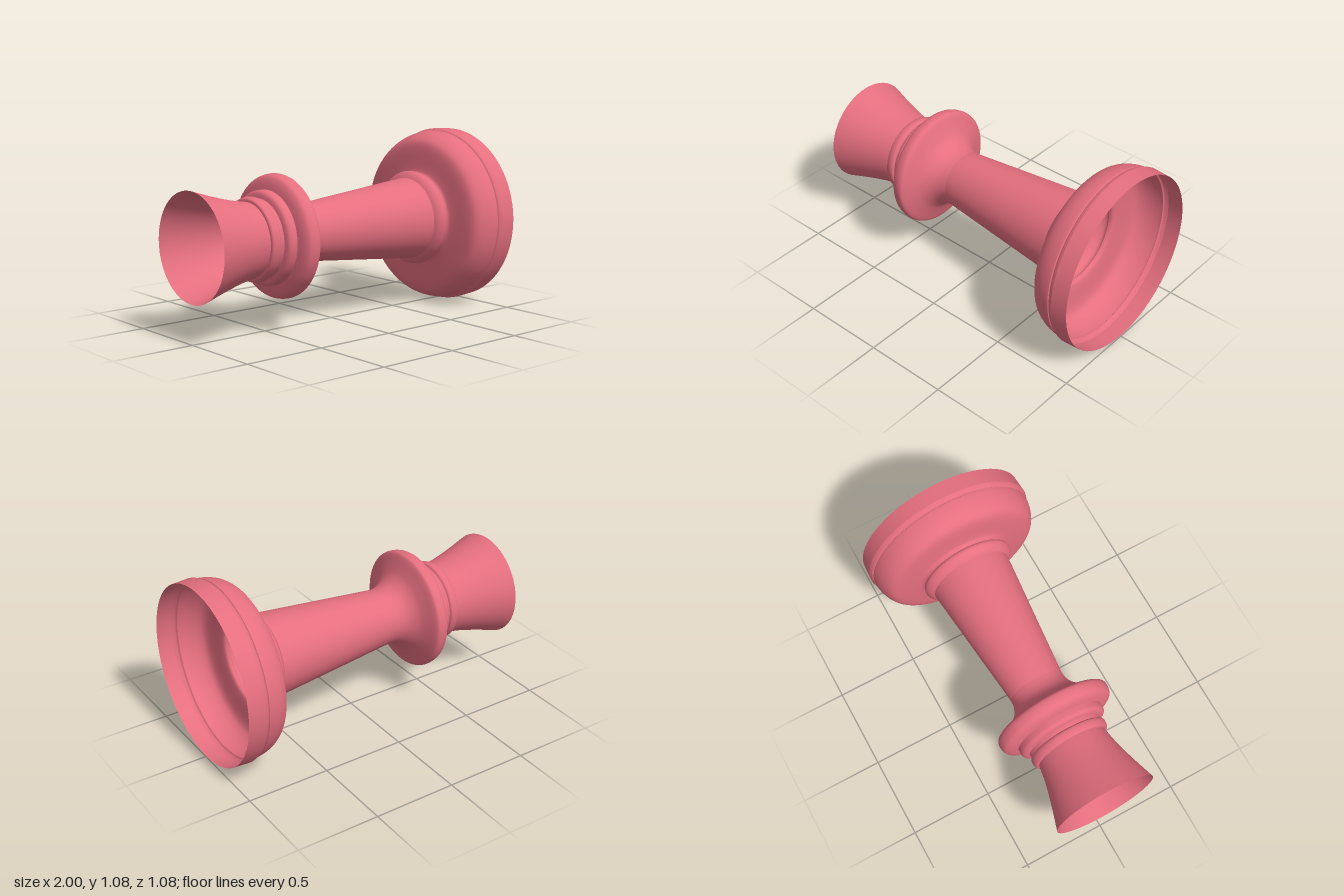
import * as THREE from 'three';

const AXIS_HEIGHT = 0.54;
const material = new THREE.MeshStandardMaterial({ color: 0xe56f7f, side: THREE.DoubleSide });

// Each section is a smooth profile of [x along the axis, radius];
// separate sections leave a sharp crease where they meet.
const sections = {
  flaredMouth: [[-1, 0.313], [-0.9, 0.282], [-0.82, 0.259], [-0.72, 0.234], [-0.62, 0.217]],
  neckRing: [[-0.62, 0.217], [-0.617, 0.232], [-0.605, 0.239], [-0.585, 0.243], [-0.568, 0.24], [-0.56, 0.228]],
  neckGroove: [[-0.56, 0.228], [-0.537, 0.231]],
  neckBand: [[-0.537, 0.231], [-0.53, 0.258], [-0.515, 0.271], [-0.495, 0.273], [-0.478, 0.273]],
  collar: [
    [-0.478, 0.273], [-0.468, 0.315], [-0.45, 0.346], [-0.42, 0.358], [-0.39, 0.358], [-0.373, 0.342],
    [-0.35, 0.285], [-0.325, 0.235], [-0.285, 0.195], [-0.24, 0.175], [-0.2, 0.17],
  ],
  taperedBody: [[-0.2, 0.17], [0.605, 0.249]],
  baseRing: [[0.605, 0.249], [0.622, 0.272], [0.648, 0.288], [0.668, 0.284], [0.676, 0.27]],
  baseBell: [
    [0.676, 0.27], [0.695, 0.28], [0.704, 0.318], [0.713, 0.405], [0.722, 0.45], [0.738, 0.478],
    [0.77, 0.502], [0.81, 0.518], [0.85, 0.526], [0.868, 0.527],
  ],
  rimGroove: [[0.868, 0.527], [0.873, 0.521], [0.88, 0.531], [0.9, 0.539]],
  baseRim: [[0.9, 0.539], [1, 0.533]],
};

// Revolve one profile about the x axis
function turned(name, profile) {
  let points = profile.map(([x, r]) => new THREE.Vector2(r, x));
  if (points.length > 2) points = new THREE.SplineCurve(points).getPoints((points.length - 1) * 4);
  const geometry = new THREE.LatheGeometry(points, 96);
  geometry.rotateZ(-Math.PI / 2);
  const mesh = new THREE.Mesh(geometry, material);
  mesh.name = name;
  mesh.position.y = AXIS_HEIGHT;
  return mesh;
}

export function createModel() {
  const group = new THREE.Group();
  group.name = 'turnedPiece';
  for (const [name, profile] of Object.entries(sections)) group.add(turned(name, profile));
  return group;
}
